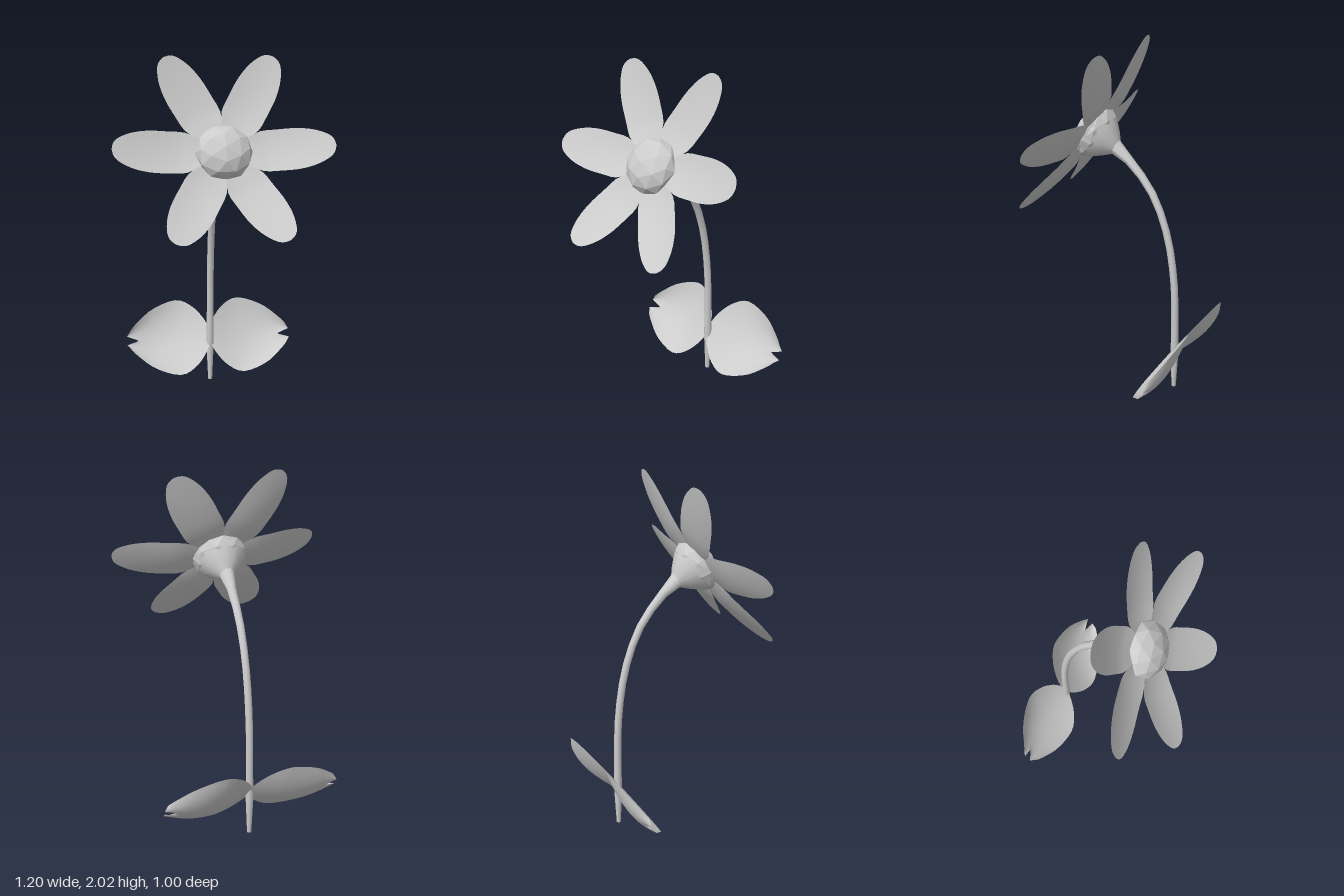
import * as THREE from 'three';

const grey = new THREE.MeshStandardMaterial({ color: 0xcccccc, side: THREE.DoubleSide });
const facetedGrey = new THREE.MeshStandardMaterial({ color: 0xcccccc, flatShading: true });

const vectors = (points) => points.map(([x, y]) => new THREE.Vector2(x, y));

function addMesh(parent, name, geometry, material = grey) {
  const mesh = new THREE.Mesh(geometry, material);
  mesh.name = name;
  parent.add(mesh);
  return mesh;
}

// Curved blade along +x: outline gives [distance, half width];
// shape(x, t, s) returns the shift along x and the height, with t from -1 to 1 across
function bladeGeometry(outline, shape, along = 18, across = 12) {
  const curve = new THREE.SplineCurve(vectors(outline));
  const geometry = new THREE.PlaneGeometry(1, 2, along, across);
  const pos = geometry.attributes.position;
  for (let i = 0; i < pos.count; i++) {
    const s = pos.getX(i) + 0.5;
    const t = pos.getY(i);
    const p = curve.getPoint(s);
    const [shift, height] = shape(p.x, t, s);
    pos.setXYZ(i, p.x + shift, p.y * t, height);
  }
  geometry.computeVertexNormals();
  return geometry;
}

// Tapered, bending stem
function stemGeometry() {
  const path = new THREE.CatmullRomCurve3([
    [0, -0.352], [0.3, -0.35], [0.7, -0.335], [1.0, -0.28],
    [1.22, -0.185], [1.37, -0.055], [1.45, 0.05],
  ].map(([y, z]) => new THREE.Vector3(0, y, z)));
  const radii = [0.013, 0.018, 0.023, 0.022, 0.021, 0.021, 0.021, 0.021,
    0.021, 0.021, 0.021, 0.022, 0.023, 0.027, 0.045];
  const rings = radii.length - 1;
  const sides = 10;
  const geometry = new THREE.TubeGeometry(path, rings, 1, sides);
  const pos = geometry.attributes.position;
  const v = new THREE.Vector3();
  for (let i = 0; i < pos.count; i++) {
    const ring = Math.floor(i / (sides + 1));
    const centre = path.getPointAt(ring / rings);
    v.fromBufferAttribute(pos, i).sub(centre).multiplyScalar(radii[ring]).add(centre);
    pos.setXYZ(i, v.x, v.y, v.z);
  }
  geometry.computeVertexNormals();
  return geometry;
}

export function createModel() {
  const model = new THREE.Group();
  model.name = 'flower';

  // Stem with a closed foot
  addMesh(model, 'stem', stemGeometry());
  const foot = addMesh(model, 'stemFoot', new THREE.CircleGeometry(0.013, 10));
  foot.rotation.x = Math.PI / 2;
  foot.position.set(0, 0.001, -0.352);

  // Pair of cupped leaves with notched tips
  const leafOutline = [[0, 0.04], [0.03, 0.11], [0.1, 0.195], [0.2, 0.24],
    [0.35, 0.19], [0.46, 0.105], [0.515, 0.055]];
  const leaf = bladeGeometry(leafOutline, (x, t, s) => {
    const a = Math.abs(t);
    const notch = a < 0.5 ? 0.075 * (1 - a / 0.5) : 0.02 * (a - 0.5) / 0.5;
    const cup = 0.06 * (1 - t * t) * Math.sin(Math.PI * x / 0.6);
    return [-notch * s ** 5, -cup - 0.04 * x];
  }, 20, 16);
  for (const side of [1, -1]) {
    const mesh = addMesh(model, side > 0 ? 'leftLeaf' : 'rightLeaf', leaf);
    mesh.position.set(0, 0.285, -0.365);
    mesh.rotation.x = -0.595;
    mesh.scale.x = side;
  }

  // Flower head, tilted upwards
  const head = new THREE.Group();
  head.name = 'flowerHead';
  head.position.set(0, 1.51, 0.17);
  head.rotation.x = -0.494;
  model.add(head);

  // Six petals curling forward at the tips
  const petalOutline = [[0.1, 0.06], [0.2, 0.112], [0.3, 0.118], [0.4, 0.117],
    [0.49, 0.1], [0.56, 0.068], [0.59, 0.037], [0.6, 0]];
  const petal = bladeGeometry(petalOutline, (x, t) => {
    const curl = 0.085 * Math.max(0, (x - 0.22) / 0.38) ** 1.4;
    return [0, curl + 0.012 * t * t * Math.sin(Math.PI * x / 0.6)];
  }, 20, 8);
  for (let i = 0; i < 6; i++) {
    addMesh(head, 'petal', petal).rotation.z = i * Math.PI / 3;
  }

  // Faceted domed centre
  const centre = addMesh(head, 'flowerCentre', new THREE.IcosahedronGeometry(1, 1), facetedGrey);
  centre.scale.set(0.157, 0.157, 0.1);

  // Cup joining the head to the stem
  const cup = new THREE.LatheGeometry(
    vectors([[0.03, -0.16], [0.045, -0.145], [0.085, -0.105], [0.135, -0.045], [0.155, 0]]), 14);
  addMesh(head, 'calyx', cup).rotation.x = Math.PI / 2;

  return model;
}
